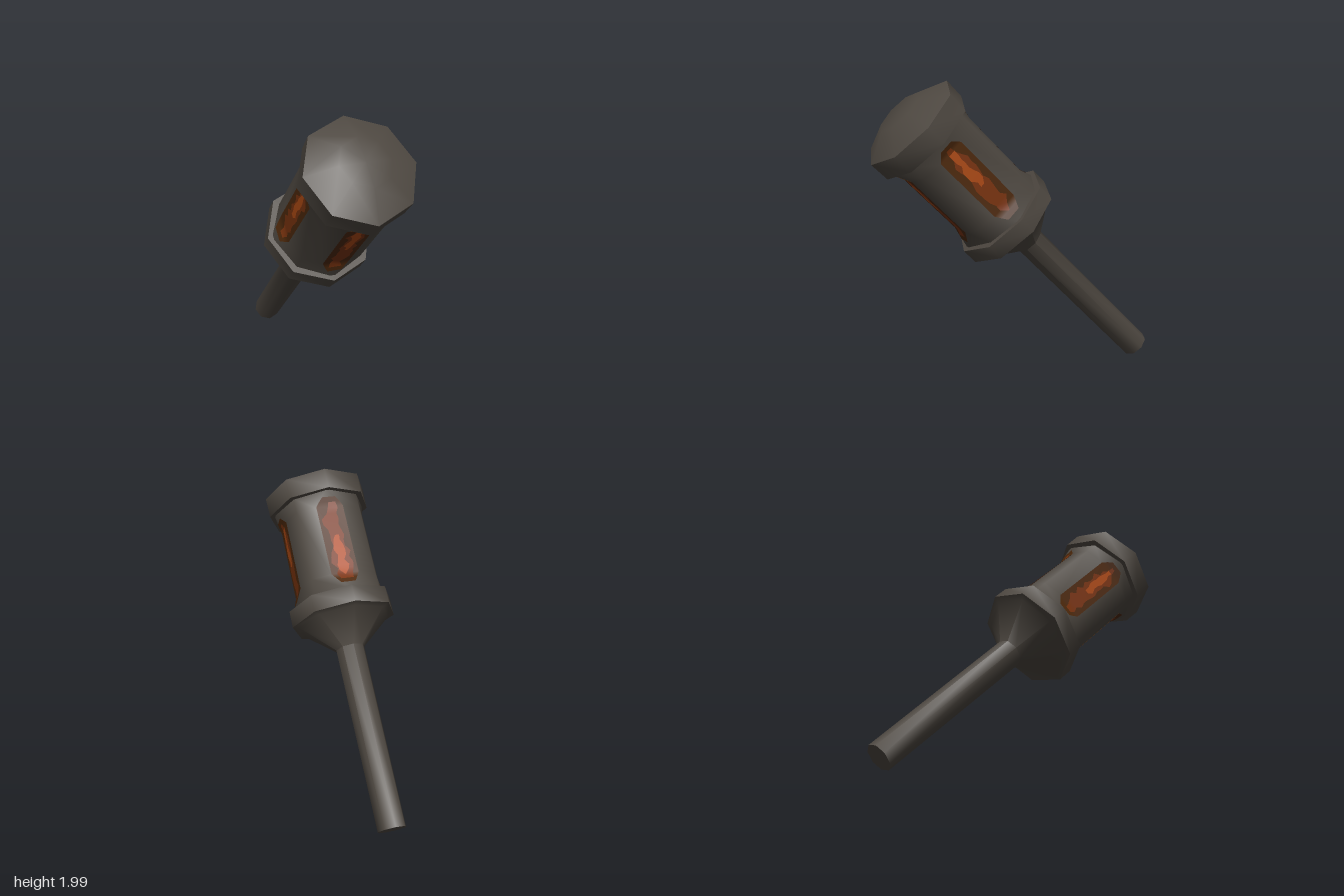
import * as THREE from 'three';
import { toCreasedNormals } from 'three/addons/utils/BufferGeometryUtils.js';

const CREASE = 0.95;

export function createModel() {
  const mat = (name, color, side = THREE.FrontSide) => {
    const m = new THREE.MeshStandardMaterial({ color, side });
    m.name = name;
    return m;
  };
  const iron = mat('darkIron', 0x4d4740);
  const ember = mat('emberBrown', 0x4e290b, THREE.DoubleSide);
  const glow = mat('emberRust', 0x7a330e, THREE.DoubleSide);
  const hot = mat('emberOrange', 0xae4a14, THREE.DoubleSide);

  let seed = 7;
  const rand = () => ((seed = (seed * 16807) % 2147483647) / 2147483647);

  // Everything is built along y, then the whole torch is tilted
  const torch = new THREE.Group();
  torch.name = 'tiltedTorch';
  torch.rotation.x = Math.PI / 4;
  torch.position.set(0, 0.5, -0.5);
  const add = (name, geometry, material, parent = torch) => {
    const mesh = new THREE.Mesh(geometry, material);
    mesh.name = name;
    parent.add(mesh);
    return mesh;
  };

  // Eight-sided turned parts: [radius, height]
  const turned = (name, points) => add(name, toCreasedNormals(
    new THREE.LatheGeometry(points.map(p => new THREE.Vector2(...p)), 8), CREASE), iron);
  turned('handleAndLowerRim', [
    [0, -0.601], [0.094, -0.601], [0.097, 0.608], [0.308, 0.795],
    [0.354, 0.806], [0.354, 0.92], [0.3, 0.92], [0, 0.92],
  ]);
  turned('capAndUpperRim', [
    [0, 1.63], [0.3, 1.63], [0.35, 1.63], [0.354, 1.768], [0.163, 1.86], [0, 1.86],
  ]);

  // Lantern body: octagon whose axis corners are cut flat for the windows
  const rows = [[0.91, 0.32, 0.01], [1.04, 0.268, 0.1], [1.53, 0.268, 0.1], [1.635, 0.315, 0.01]];
  const pos = [], index = [];
  for (const [y, d, w] of rows) {
    for (let k = 0; k < 4; k++) {
      const s = Math.sin(k * Math.PI / 2), c = Math.cos(k * Math.PI / 2);
      for (const t of [-w, w]) pos.push(s * d + c * t, y, c * d - s * t);
      const a = k * Math.PI / 2 + Math.PI / 4;
      pos.push(Math.sin(a) * 0.31, y, Math.cos(a) * 0.31);
    }
  }
  for (let r = 0; r < rows.length - 1; r++) {
    for (let i = 0; i < 12; i++) {
      const a = r * 12 + i, b = r * 12 + (i + 1) % 12;
      index.push(a, b, a + 12, b, b + 12, a + 12);
    }
  }
  const body = new THREE.BufferGeometry();
  body.setAttribute('position', new THREE.Float32BufferAttribute(pos, 3));
  body.setIndex(index);
  add('lanternBody', toCreasedNormals(body, CREASE), iron);

  // Depth of the window face at a given height
  const depth = y => y < 1.04 ? 0.268 + (1.04 - y) * 0.4
    : y > 1.53 ? 0.268 + (y - 1.53) * 0.448 : 0.268;

  // Thin plate following the window face: rows of [height, left, right]
  const plate = (outline, lift) => {
    const p = [], idx = [];
    outline.forEach(([y, l, r], i) => {
      const z = depth(y) + lift;
      p.push(l, y, z, r, y, z);
      if (i) idx.push(2 * i - 2, 2 * i - 1, 2 * i, 2 * i - 1, 2 * i + 1, 2 * i);
    });
    const g = new THREE.BufferGeometry();
    g.setAttribute('position', new THREE.Float32BufferAttribute(p, 3));
    g.setIndex(idx);
    g.computeVertexNormals();
    return g;
  };

  // Ragged patch of glow with tapered ends
  const patch = (y0, y1, n, width, wobble, flip) => {
    const out = [];
    for (let i = 0; i <= n; i++) {
      const w = width * Math.min(1, 0.45 + 0.9 * Math.sin(Math.PI * i / n));
      const y = y0 + (y1 - y0) * i / n;
      out.push([flip ? 2.555 - y : y,
        -w + (rand() - 0.5) * wobble, w + (rand() - 0.5) * wobble]);
    }
    return flip ? out.reverse() : out;
  };

  // Four glowing windows; the one on the back burns brightest at its foot
  for (let k = 0; k < 4; k++) {
    const win = new THREE.Group();
    win.name = 'emberWindow';
    win.rotation.y = k * Math.PI / 2;
    const flip = k === 2;
    add('windowEdge', plate([
      [0.965, -0.048, 0.048], [1, -0.07, 0.07], [1.04, -0.092, 0.092],
      [1.53, -0.092, 0.092], [1.56, -0.07, 0.07], [1.588, -0.045, 0.045],
    ], 0.002), ember, win);
    add('windowGlow', plate(patch(1, 1.56, 14, 0.053, 0.045, flip), 0.004), glow, win);
    add('windowHotCore', plate(patch(1.24, 1.53, 8, 0.028, 0.03, flip), 0.006), hot, win);
    torch.add(win);
  }

  const model = new THREE.Group();
  model.name = 'lanternTorch';
  model.add(torch);
  return model;
}
